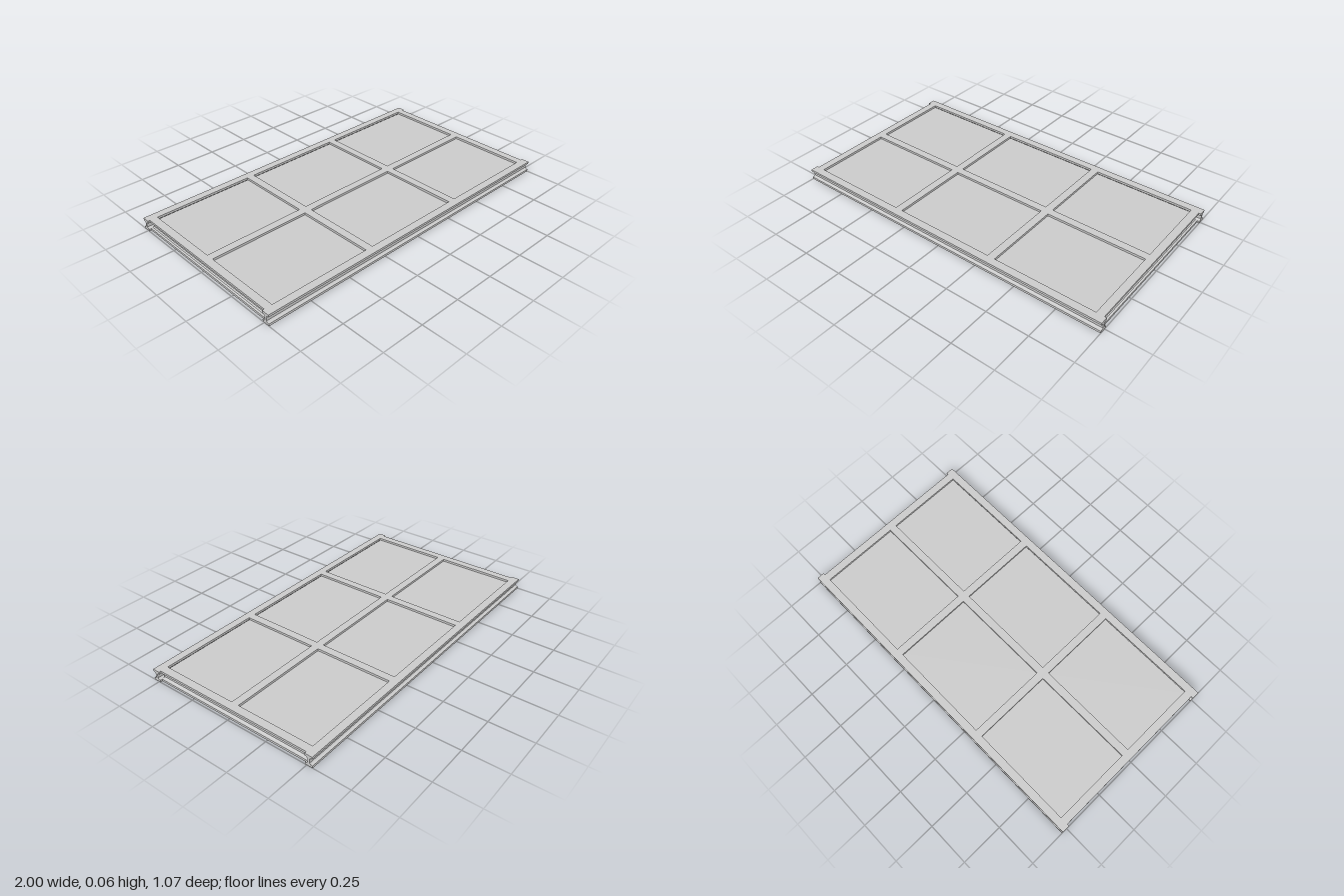
import * as THREE from 'three';

const material = new THREE.MeshStandardMaterial({ color: 0xcccccc, flatShading: true });
const HEIGHT = 0.065;
const HALF_FLANGE = 0.0225;
const HALF_WEB = 0.006;

// I-section with a chamfer where the flanges meet the web
function beamSection() {
  const right = [
    [HALF_FLANGE, 0], [HALF_FLANGE, 0.013], [0.012, 0.015], [HALF_WEB, 0.021],
    [HALF_WEB, 0.044], [0.012, 0.05], [HALF_FLANGE, 0.052], [HALF_FLANGE, HEIGHT],
  ];
  const left = right.map(([x, y]) => [-x, y]).reverse();
  return new THREE.Shape([...right, ...left].map(([x, y]) => new THREE.Vector2(x, y)));
}

// Beam centred at (x, z), running along z or, when alongX is set, along x
function beam(name, length, x, z, alongX = false) {
  const geometry = new THREE.ExtrudeGeometry(beamSection(), { depth: length, bevelEnabled: false });
  geometry.translate(0, 0, -length / 2);
  if (alongX) geometry.rotateY(Math.PI / 2);
  const mesh = new THREE.Mesh(geometry, material);
  mesh.name = name;
  mesh.position.set(x, 0, z);
  return mesh;
}

export function createModel() {
  const group = new THREE.Group();
  group.name = 'framedDeck';
  const sideZ = 0.5115;
  const innerZ = 0.489;
  const crossX = [-0.965, -0.323, 0.323, 0.965];

  // Long side beams
  for (const s of [-1, 1]) group.add(beam('sideBeam', 2, 0, s * sideZ, true));

  // End and intermediate cross beams
  crossX.forEach((x, i) => {
    const name = i === 0 || i === 3 ? 'endBeam' : 'crossBeam';
    group.add(beam(name, innerZ * 2, x, 0));
  });

  // Middle beams and the two infill panels of each bay
  for (let i = 0; i < 3; i++) {
    const x = (crossX[i] + crossX[i + 1]) / 2;
    const span = crossX[i + 1] - crossX[i];
    group.add(beam('middleBeam', span - 2 * HALF_FLANGE, x, 0, true));
    for (const s of [-1, 1]) {
      const depth = innerZ - HALF_WEB;
      const panel = new THREE.Mesh(new THREE.BoxGeometry(span - 2 * HALF_WEB, 0.007, depth), material);
      panel.name = 'panel';
      panel.position.set(x, 0.0475, s * (HALF_WEB + depth / 2));
      group.add(panel);
    }
  }
  return group;
}
